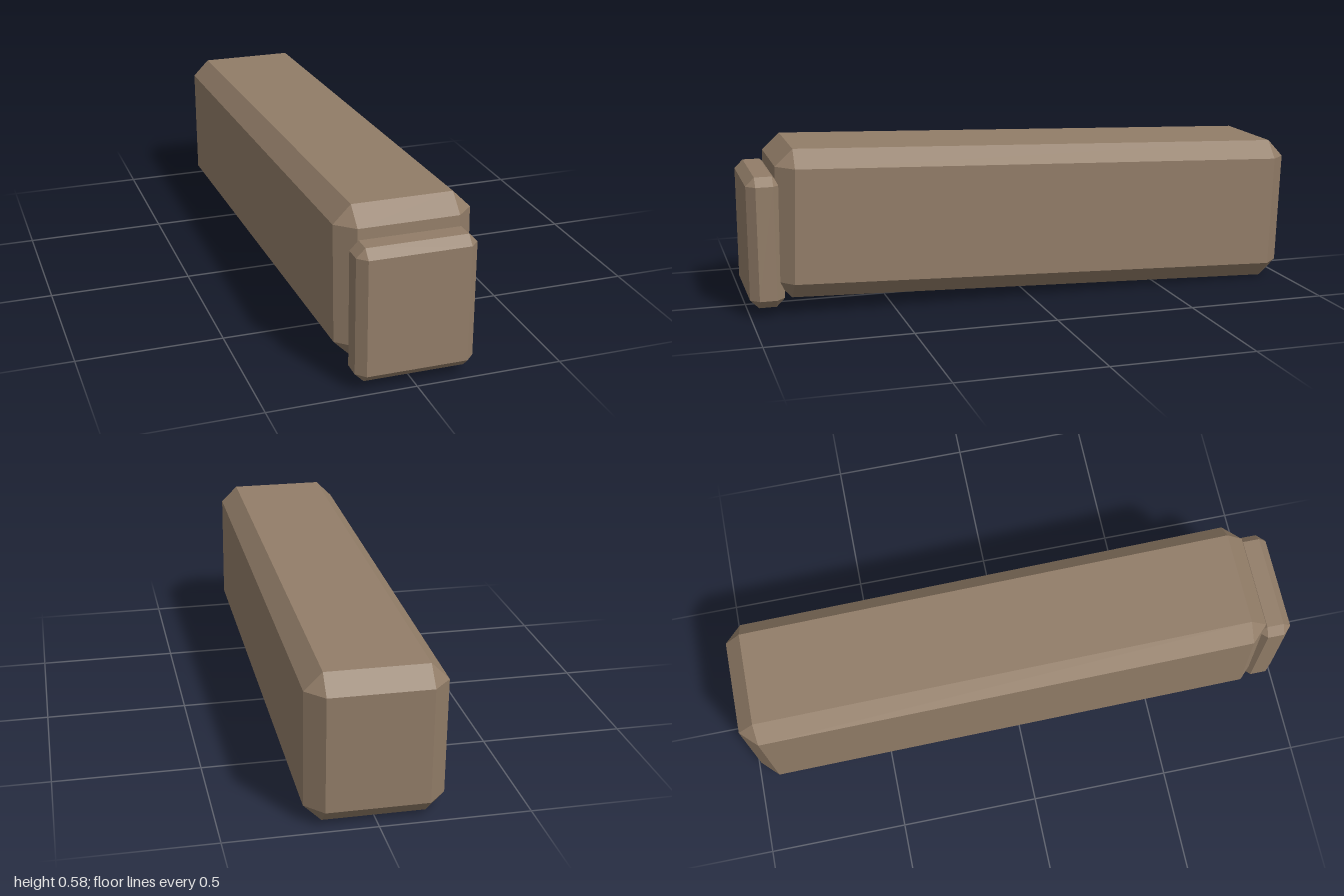
import * as THREE from 'three';
import { ConvexGeometry } from 'three/addons/geometries/ConvexGeometry.js';

// Box with every edge cut at 45 degrees and triangular corners
function chamferedBox(w, h, d, c) {
  const points = [];
  for (const sx of [-1, 1]) for (const sy of [-1, 1]) for (const sz of [-1, 1]) {
    const x = w / 2, y = h / 2, z = d / 2;
    points.push(
      new THREE.Vector3(sx * x, sy * (y - c), sz * (z - c)),
      new THREE.Vector3(sx * (x - c), sy * y, sz * (z - c)),
      new THREE.Vector3(sx * (x - c), sy * (y - c), sz * z)
    );
  }
  return new ConvexGeometry(points);
}

export function createModel() {
  const group = new THREE.Group();
  const wood = new THREE.MeshStandardMaterial({ color: 0x927d68 });
  wood.name = 'brown wood';

  // Long beam, front end raised by two degrees
  const beam = new THREE.Mesh(chamferedBox(0.46, 0.52, 1.9, 0.06), wood);
  beam.name = 'beam';
  beam.position.set(0, 0.292, -0.043);
  beam.rotation.x = -THREE.MathUtils.degToRad(2);
  group.add(beam);

  // Upright cap on the front end
  const cap = new THREE.Mesh(chamferedBox(0.4, 0.458, 0.12, 0.03), wood);
  cap.name = 'endCap';
  cap.position.set(0, 0.263, 0.94);
  group.add(cap);

  return group;
}
